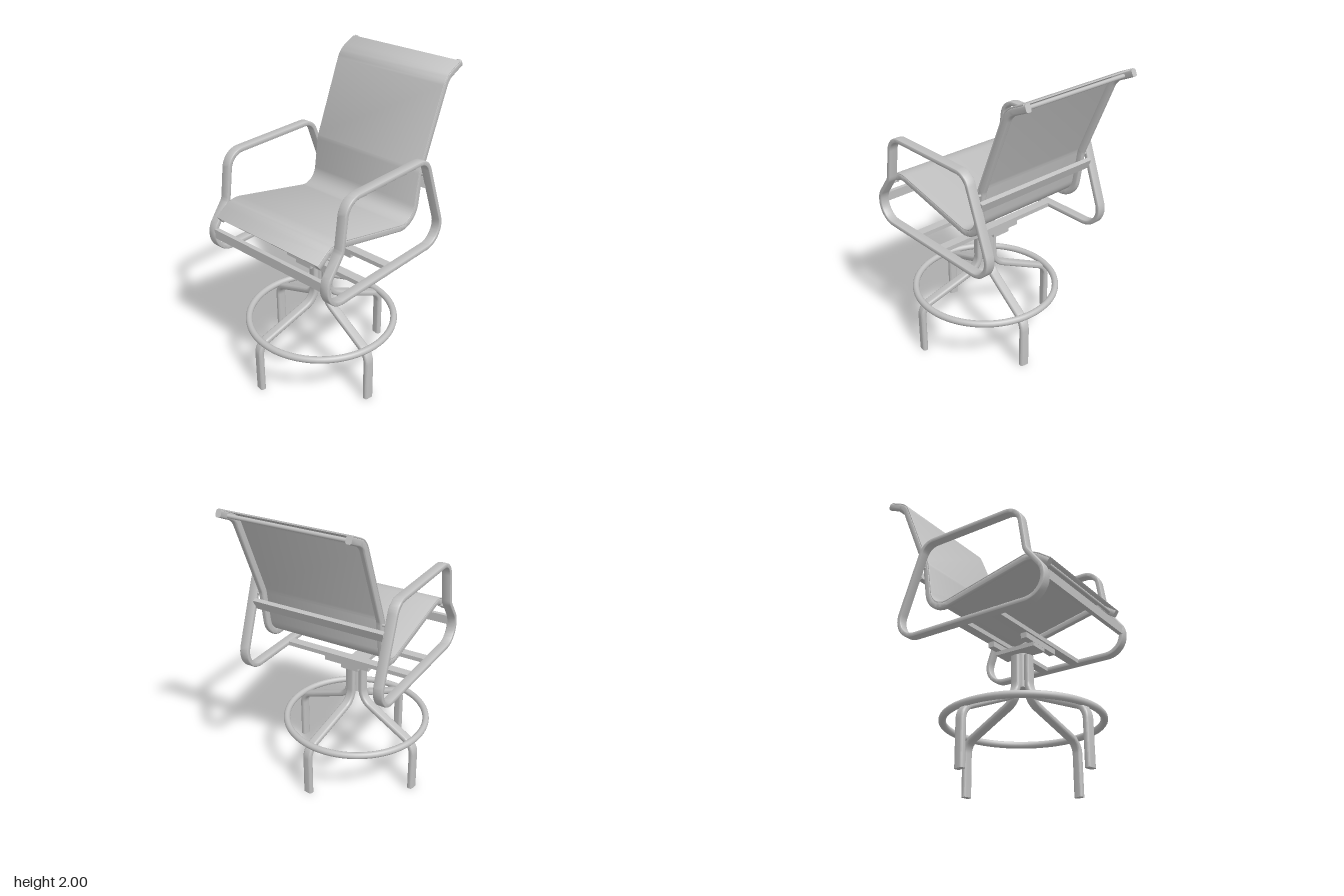
import * as THREE from 'three';
import { toCreasedNormals } from 'three/addons/utils/BufferGeometryUtils.js';

const grey = new THREE.MeshStandardMaterial({ color: 0xc0c0c0 });
grey.name = 'painted grey';

// Planar path through [z, y, filletRadius] corners, with true arcs at the corners
function filletPath(corners, closed) {
  const out = [];
  const n = corners.length;
  corners.forEach(([z, y, r], i) => {
    const p = new THREE.Vector2(z, y);
    if (!r) { out.push(p); return; }
    const u = new THREE.Vector2(...corners[(i + n - 1) % n].slice(0, 2)).sub(p).normalize();
    const v = new THREE.Vector2(...corners[(i + 1) % n].slice(0, 2)).sub(p).normalize();
    const half = Math.acos(THREE.MathUtils.clamp(u.dot(v), -1, 1)) / 2;
    const centre = u.clone().add(v).normalize().multiplyScalar(r / Math.sin(half)).add(p);
    const a = u.clone().multiplyScalar(r / Math.tan(half)).add(p).sub(centre);
    const turn = Math.sign(v.cross(u)) * (Math.PI - 2 * half);
    const steps = Math.max(4, Math.ceil(Math.abs(turn) / 0.14));
    for (let k = 0; k <= steps; k++) {
      out.push(a.clone().rotateAround(new THREE.Vector2(), turn * k / steps).add(centre));
    }
  });
  return { points: out, closed };
}

// Rounded rectangle section: w across, t thick, shifted by h off the path
function section(w, t, r, h = 0) {
  const pts = [];
  [[1, 1], [-1, 1], [-1, -1], [1, -1]].forEach(([sx, sy], q) => {
    for (let k = 0; k <= 4; k++) {
      const a = (q + k / 4) * Math.PI / 2;
      pts.push([sx * (w / 2 - r) + r * Math.cos(a), h + sy * (t / 2 - r) + r * Math.sin(a)]);
    }
  });
  return pts;
}

// Sweep a section along a path lying in the z-y plane
function sweep({ points, closed }, sec) {
  const pos = [], idx = [];
  const n = points.length, m = sec.length;
  points.forEach((p, i) => {
    const prev = closed ? points[(i + n - 1) % n] : points[Math.max(i - 1, 0)];
    const next = closed ? points[(i + 1) % n] : points[Math.min(i + 1, n - 1)];
    const t = next.clone().sub(prev).normalize();
    for (const [s, h] of sec) pos.push(s, p.y + h * t.x, p.x - h * t.y);
  });
  for (let i = 0; i < (closed ? n : n - 1); i++) {
    for (let j = 0; j < m; j++) {
      const a = i * m + j, b = i * m + (j + 1) % m;
      const c = ((i + 1) % n) * m + (j + 1) % m, d = ((i + 1) % n) * m + j;
      idx.push(a, b, c, a, c, d);
    }
  }
  if (!closed) {
    const e = (n - 1) * m;
    for (let j = 1; j < m - 1; j++) idx.push(0, j + 1, j, e, e + j, e + j + 1);
  }
  const g = new THREE.BufferGeometry();
  g.setAttribute('position', new THREE.Float32BufferAttribute(pos, 3));
  g.setIndex(idx);
  return toCreasedNormals(g, 0.6);
}

export function createModel() {
  const model = new THREE.Group();
  model.name = 'swivelBarChair';

  const add = (name, geometry, x = 0, y = 0, z = 0, parent = model) => {
    const mesh = new THREE.Mesh(geometry, grey);
    mesh.name = name;
    mesh.position.set(x, y, z);
    parent.add(mesh);
    return mesh;
  };
  const box = (name, w, h, d, x, y, z) => add(name, new THREE.BoxGeometry(w, h, d), x, y, z);
  const rod = (name, r, length, x, y, z) => {
    add(name, new THREE.CylinderGeometry(r, r, length, 16), x, y, z).rotation.z = Math.PI / 2;
  };

  // Pedestal: four bent legs, foot ring and hub
  const base = new THREE.Group();
  base.name = 'pedestal';
  base.position.z = 0.158;
  model.add(base);
  const legGeometry = sweep(filletPath([
    [0.055, 0.78], [0.055, 0.525, 0.12], [0.49, 0.34, 0.1], [0.49, 0],
  ]), section(0.062, 0.038, 0.014));
  for (let k = 0; k < 4; k++) {
    add('leg', legGeometry, 0, 0, 0, base).rotation.y = -0.183 + k * Math.PI / 2;
  }
  add('footRing', new THREE.TorusGeometry(0.478, 0.022, 14, 72), 0, 0.37, 0, base).rotation.x = Math.PI / 2;
  add('hub', new THREE.CylinderGeometry(0.035, 0.035, 0.25, 24), 0, 0.705, 0, base);

  // Swivel bracket under the seat frame
  box('swivelPlate', 0.125, 0.026, 0.275, -0.022, 0.814, 0.158);
  for (const z of [0.276, 0.04]) {
    box('swivelMount', 0.325, 0.035, 0.04, 0, 0.843, z);
    box('lowerCrossbar', 0.89, 0.028, 0.06, 0, 0.875, z);
  }

  // Arm loops, one closed flat tube each side
  const armGeometry = sweep(filletPath([
    [0.465, 1.495, 0.11], [-0.247, 1.495, 0.1], [-0.478, 0.875, 0.125],
    [0.622, 0.875, 0.122], [0.622, 1.042, 0.12], [0.508, 1.195, 0.08],
  ], true), section(0.062, 0.03, 0.008));

  // Seat rails and sling share one side profile
  const profile = filletPath([
    [0.614, 1.117], [0.5, 1.2, 0.13], [-0.245, 1.032, 0.13],
    [-0.295, 1.385, 0.12], [-0.512, 1.915, 0.12], [-0.648, 1.977],
  ]);
  const railGeometry = sweep(profile, section(0.036, 0.045, 0.012));
  for (const side of [-1, 1]) {
    add('armLoop', armGeometry, side * 0.469);
    add('seatRail', railGeometry, side * 0.403);
    rod('frontPin', 0.008, 0.06, side * 0.43, 1.145, 0.54);
    rod('rearPin', 0.008, 0.06, side * 0.43, 1.365, -0.298);
  }

  // Sling fabric lying on the rails
  const slingProfile = { points: profile.points.map((p) => p.clone()), closed: false };
  slingProfile.points.at(-1).add(new THREE.Vector2(0.012, -0.0055));
  add('sling', sweep(slingProfile, section(0.84, 0.008, 0.003, -0.022)));

  // Cross members
  box('frontCrossbar', 0.89, 0.06, 0.028, 0, 1.015, 0.62);
  box('rearCrossbar', 0.89, 0.062, 0.028, 0, 1.305, -0.319).rotation.x = -0.357;
  rod('topSpreader', 0.012, 0.79, 0, 1.948, -0.59);
  rod('frontSpreader', 0.012, 0.79, 0, 1.14, 0.575);

  return model;
}
